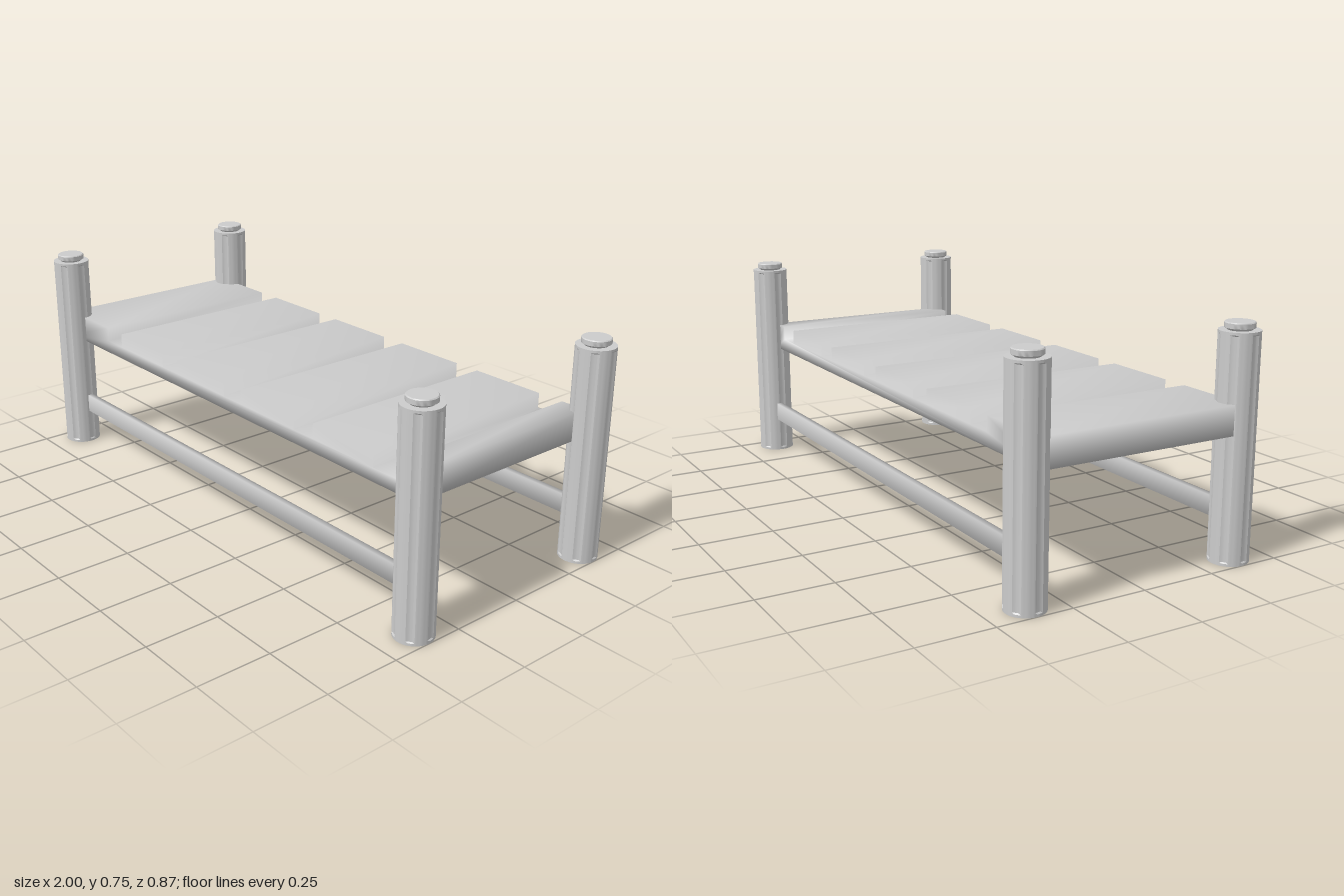
import * as THREE from 'three';
import { mergeVertices, toCreasedNormals } from 'three/addons/utils/BufferGeometryUtils.js';

const material = new THREE.MeshStandardMaterial({ color: 0xcccccc });

function addMesh(parent, name, geometry, x = 0, y = 0, z = 0) {
  const mesh = new THREE.Mesh(geometry, material);
  mesh.name = name;
  mesh.position.set(x, y, z);
  parent.add(mesh);
  return mesh;
}

// Welds the corners so shading blends softly across the edges
function soften(geometry) {
  geometry.deleteAttribute('normal');
  geometry.deleteAttribute('uv');
  const welded = mergeVertices(geometry);
  welded.computeVertexNormals();
  return welded;
}

const lathe = (profile, sides) =>
  new THREE.LatheGeometry(profile.map(([r, y]) => new THREE.Vector2(r, y)), sides);

// Round post with six shallow sunken strips that stop short of both ends
function postGeometry() {
  const r = 0.064, height = 0.72, sides = 60;
  const geometry = lathe(
    [[0, 0], [r, 0], [r, 0.008], [r, 0.012], [r, 0.708], [r, 0.712], [r, height], [0, height]], sides);
  const p = geometry.attributes.position;
  for (let i = 0; i < p.count; i++) {
    const y = p.getY(i);
    const step = Math.round(Math.atan2(p.getX(i), p.getZ(i)) / (2 * Math.PI) * sides) + sides;
    const inStrip = step % 10 >= 5 && step % 10 <= 7;
    if (inStrip && y > 0.01 && y < 0.71) {
      p.setX(i, p.getX(i) * 0.94);
      p.setZ(i, p.getZ(i) * 0.94);
    }
  }
  return toCreasedNormals(geometry, 0.5);
}

// Slatted deck: a long slab with grooves cut across its top
function deckGeometry() {
  const left = -0.98, right = 0.92, bottom = 0.41, groove = 0.455, top = 0.505, depth = 0.72;
  const shape = new THREE.Shape();
  shape.moveTo(left, bottom);
  shape.lineTo(right, bottom);
  shape.lineTo(right, top);
  for (let i = 4; i >= 0; i--) {
    const x = -0.71 + i * 0.3625;
    shape.lineTo(x + 0.093, top);
    shape.lineTo(x + 0.093, groove);
    shape.lineTo(x, groove);
    shape.lineTo(x, top);
  }
  shape.lineTo(left, top);
  const geometry = new THREE.ExtrudeGeometry(shape, { depth, bevelEnabled: false });
  geometry.translate(0, 0, -depth / 2);
  return soften(geometry);
}

export function createModel() {
  const model = new THREE.Group();
  model.name = 'slattedBench';

  addMesh(model, 'slattedDeck', deckGeometry());

  // Four corner posts with round finials
  const post = postGeometry();
  const finial = toCreasedNormals(lathe(
    [[0.036, 0.718], [0.039, 0.722], [0.047, 0.727], [0.047, 0.742], [0.044, 0.745], [0, 0.745]], 32), 0.7);
  for (const x of [-0.936, 0.936]) {
    for (const z of [-0.37, 0.37]) {
      const corner = new THREE.Group();
      corner.name = (z > 0 ? 'front' : 'back') + (x > 0 ? 'Left' : 'Right') + 'Post';
      corner.position.set(x, 0, z);
      addMesh(corner, 'post', post);
      addMesh(corner, 'finial', finial);
      model.add(corner);
    }
  }

  // Thin lower rails along the front and back
  const rail = soften(new THREE.BoxGeometry(1.8, 0.065, 0.022));
  addMesh(model, 'frontRail', rail, 0, 0.158, 0.359);
  addMesh(model, 'backRail', rail, 0, 0.158, -0.375);

  return model;
}
